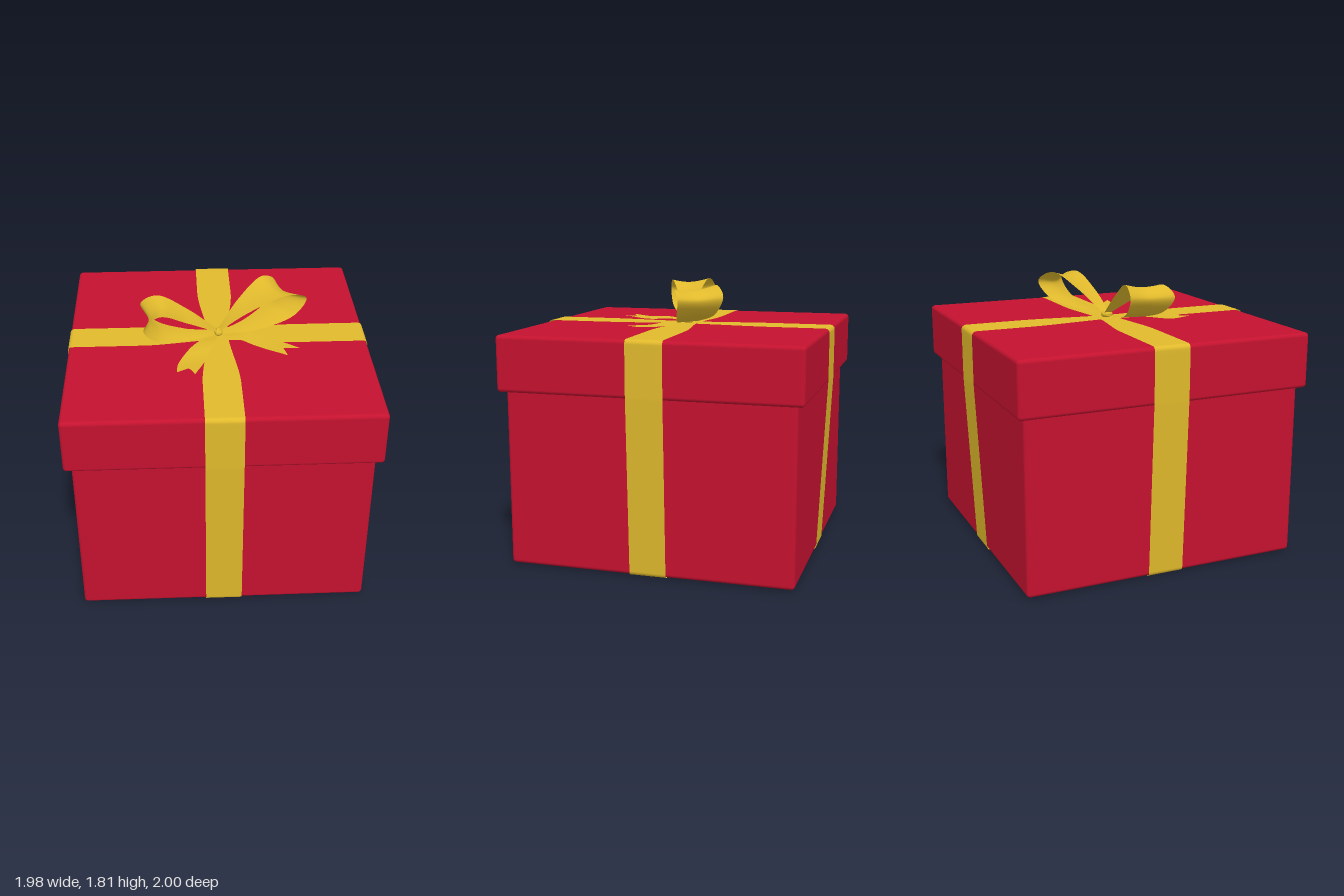
import * as THREE from 'three';
import { RoundedBoxGeometry } from 'three/addons/geometries/RoundedBoxGeometry.js';
import { ParametricGeometry } from 'three/addons/geometries/ParametricGeometry.js';

const red = new THREE.MeshStandardMaterial({ color: 0xc4122f });
const gold = new THREE.MeshStandardMaterial({ color: 0xe0b92c, side: THREE.DoubleSide });

function add(parent, name, geometry, material, x = 0, y = 0, z = 0) {
  const mesh = new THREE.Mesh(geometry, material);
  mesh.name = name;
  mesh.position.set(x, y, z);
  parent.add(mesh);
  return mesh;
}

function surface(fn, nu, nv) {
  const geometry = new ParametricGeometry(fn, nu, nv);
  geometry.computeVertexNormals();
  return geometry;
}

const curve = (points) => new THREE.CatmullRomCurve3(points.map((p) => new THREE.Vector3(...p)));

// Flat band running all the way round the box, pinched under the bow
function bandGeometry(reach, top, bottom, pinchEnd) {
  const half = [];
  const arc = (cx, cy, r, from, to) => {
    for (let i = 0; i <= 6; i++) {
      const a = THREE.MathUtils.lerp(from, to, i / 6);
      half.push([cx + r * Math.cos(a), cy + r * Math.sin(a)]);
    }
  };
  half.push([0, bottom], [0.89, bottom]);
  arc(0.915, bottom + 0.03, 0.03, -Math.PI / 2, 0);
  half.push([reach - 0.001, 1.15], [reach, 1.17], [reach, 1.47]);
  arc(reach - 0.03, top - 0.03, 0.03, 0, Math.PI / 2);
  for (let i = 24; i >= 0; i--) half.push([0.9 * i / 24, top]);
  const mirrored = half.slice(0, -1).reverse().map(([r, y]) => [-r, y]);
  const path = [...half, ...mirrored];
  const n = path.length - 1;
  return surface((u, v, out) => {
    const [r, y] = path[Math.min(n, Math.max(0, Math.round(u * n)))];
    const pinch = y > 1.5 ? THREE.MathUtils.smoothstep(Math.abs(r), 0.0, pinchEnd) : 1;
    out.set((v * 2 - 1) * (0.068 + 0.052 * pinch), y, r);
  }, n, 2);
}

// Bow loop: ribbon stretched between two edge curves, hollowed across its width
function loopGeometry(edgeA, edgeB, centre) {
  const a = curve(edgeA), b = curve(edgeB), c = new THREE.Vector3(...centre);
  return surface((u, v, out) => {
    const t = THREE.MathUtils.clamp(u, 0, 1), w = v * 2 - 1;
    out.copy(a.getPoint(t)).lerp(b.getPoint(t), v);
    out.lerp(c, 0.2 * (1 - w * w) * Math.sin(Math.PI * t) ** 2);
  }, 56, 12);
}

// Ribbon tail: lies on the lid, with a V cut in its end
function tailGeometry(edgeA, edgeB) {
  const flat = ([x, z]) => [x, 1.532, z];
  const a = curve(edgeA.map(flat)), b = curve(edgeB.map(flat));
  return surface((u, v, out) => {
    const cut = 1 - 0.12 * (1 - Math.abs(v * 2 - 1));
    const t = THREE.MathUtils.clamp(u * cut, 0, 1);
    out.copy(a.getPoint(t)).lerp(b.getPoint(t), v);
    out.y += 0.006 * (1 - Math.cos(t * 9));
  }, 28, 8);
}

export function createModel() {
  const model = new THREE.Group();
  model.name = 'giftBox';

  // Box and lid
  add(model, 'boxBody', new RoundedBoxGeometry(1.88, 1.29, 1.88, 4, 0.025), red, 0, 0.653, 0);
  add(model, 'lid', new RoundedBoxGeometry(1.972, 0.364, 1.972, 4, 0.025), red, 0, 1.336, 0);

  // Crossing bands
  add(model, 'frontToBackBand', bandGeometry(0.998, 1.525, 0, 0.6), gold);
  add(model, 'sideToSideBand', bandGeometry(0.992, 1.522, 0.003, 0.5), gold).rotation.y = Math.PI / 2;

  // Bow
  const bow = new THREE.Group();
  bow.name = 'bow';
  model.add(bow);

  add(bow, 'rightLoop', loopGeometry(
    [[0, 1.55, -0.025], [-0.2, 1.71, -0.025], [-0.4, 1.805, -0.045], [-0.51, 1.735, -0.06],
      [-0.42, 1.62, -0.045], [-0.2, 1.56, -0.02], [0, 1.535, -0.015]],
    [[0, 1.55, 0.02], [-0.2, 1.68, 0.12], [-0.39, 1.79, 0.23], [-0.485, 1.72, 0.27],
      [-0.4, 1.61, 0.23], [-0.2, 1.55, 0.11], [0, 1.535, 0.02]],
    [-0.28, 1.66, 0.1]), gold);

  add(bow, 'leftLoop', loopGeometry(
    [[0, 1.55, -0.025], [0.15, 1.71, -0.16], [0.31, 1.81, -0.28], [0.41, 1.74, -0.35],
      [0.36, 1.63, -0.29], [0.18, 1.56, -0.13], [0, 1.535, -0.02]],
    [[0, 1.55, 0.02], [0.2, 1.68, 0], [0.47, 1.785, -0.04], [0.6, 1.73, -0.1],
      [0.52, 1.62, -0.07], [0.25, 1.55, 0], [0, 1.535, 0.02]],
    [0.3, 1.66, -0.13]), gold);

  add(bow, 'rightTail', tailGeometry(
    [[-0.02, 0], [-0.13, 0.115], [-0.22, 0.26], [-0.27, 0.38], [-0.277, 0.49]],
    [[0.01, 0.01], [-0.02, 0.1], [-0.05, 0.21], [-0.1, 0.36], [-0.165, 0.52]]), gold);

  add(bow, 'leftTail', tailGeometry(
    [[0.01, -0.01], [0.12, 0.01], [0.25, 0.025], [0.39, 0.11], [0.53, 0.235]],
    [[0, 0.015], [0.09, 0.06], [0.18, 0.13], [0.31, 0.22], [0.44, 0.32]]), gold);

  // Knot with a wrapped fold
  add(bow, 'knot', new THREE.SphereGeometry(0.03, 24, 16), gold, 0.005, 1.545, 0)
    .scale.set(0.95, 0.8, 1.25);
  const fold = add(bow, 'knotFold', new THREE.TorusGeometry(0.024, 0.01, 10, 24), gold, 0.005, 1.546, 0);
  fold.rotation.y = Math.PI / 2 - 0.25;
  fold.scale.set(1.2, 0.8, 1.4);

  return model;
}
